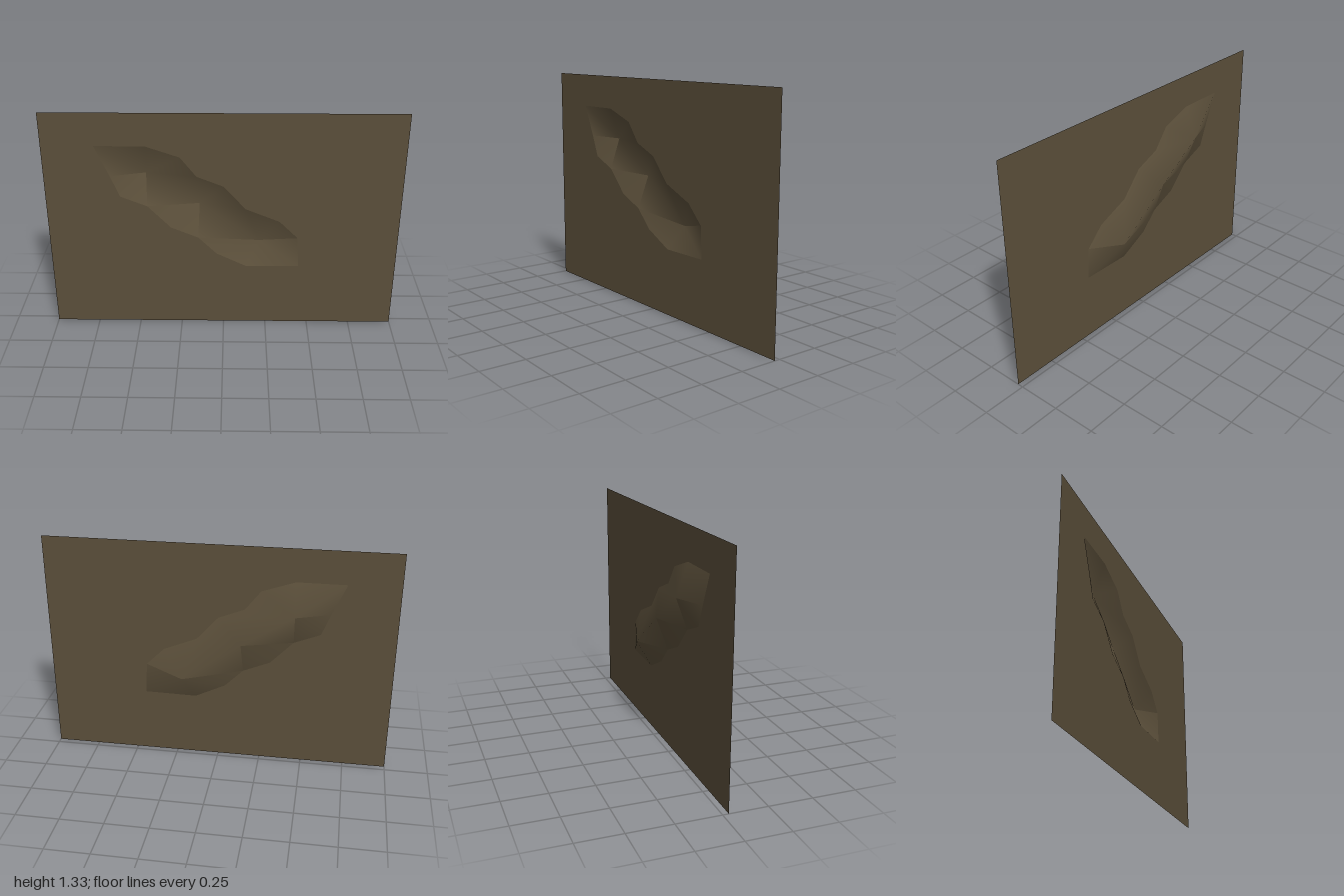
import * as THREE from 'three';

const FRONT = 0.033, BACK = -0.033;

// Corners of the recess rim, clockwise from the upper left
const RIM = {
  A: [-0.71, 1.14], B: [-0.43, 1.14], C: [-0.24, 1.075], D: [-0.15, 0.96],
  E: [0, 0.9], F: [0.125, 0.76], G: [0.32, 0.68], H: [0.425, 0.575],
  I: [0.435, 0.39], J: [0.135, 0.385], K: [-0.04, 0.47], L: [-0.145, 0.575],
  M: [-0.3, 0.64], N: [-0.43, 0.775], O: [-0.63 + 0.05, 0.835], P: [-0.63, 0.96],
};
// Deepest points along the floor
const FLOOR = { 1: [-0.435, 0.955], 2: [-0.137, 0.765], 3: [0.205, 0.525] };

// Smooth surface made of triangle fans; each fan is a centre followed by its ring
function fanSurface(fans) {
  const keys = [...new Set(fans.join(''))];
  const points = keys.flatMap((k) => (RIM[k] ? [...RIM[k], FRONT] : [...FLOOR[k], BACK]));
  const index = [];
  for (const fan of fans) {
    const ids = [...fan].map((k) => keys.indexOf(k));
    for (let i = 1; i < ids.length - 1; i++) index.push(ids[0], ids[i], ids[i + 1]);
  }
  const geometry = new THREE.BufferGeometry();
  geometry.setAttribute('position', new THREE.Float32BufferAttribute(points, 3));
  geometry.setIndex(index);
  geometry.computeVertexNormals();
  return geometry;
}

export function createModel() {
  const group = new THREE.Group();
  group.name = 'recessedPanel';
  const brown = new THREE.MeshStandardMaterial({ color: 0x5c503b });
  brown.name = 'darkBrown';
  brown.side = THREE.DoubleSide;

  const add = (name, geometry) => {
    const mesh = new THREE.Mesh(geometry, brown);
    mesh.name = name;
    group.add(mesh);
  };

  // Flat sheet with the recess cut out
  const sheet = new THREE.Shape([[-1, 0], [1, 0], [1, 1.333], [-1, 1.333]]
    .map(([x, y]) => new THREE.Vector2(x, y)));
  sheet.holes.push(new THREE.Path(Object.values(RIM).map(([x, y]) => new THREE.Vector2(x, y))));
  add('sheet', new THREE.ShapeGeometry(sheet).translate(0, 0, FRONT));

  // Long sloping upper wall, then the three lower pockets
  add('upperWall', fanSurface(['1EDCBAP', '2L3FE1N', '3HGF']));
  ['1PON', '2NML', '3LKJIH'].forEach((fan, i) => add(`lowerPocket${i + 1}`, fanSurface([fan])));

  return group;
}
